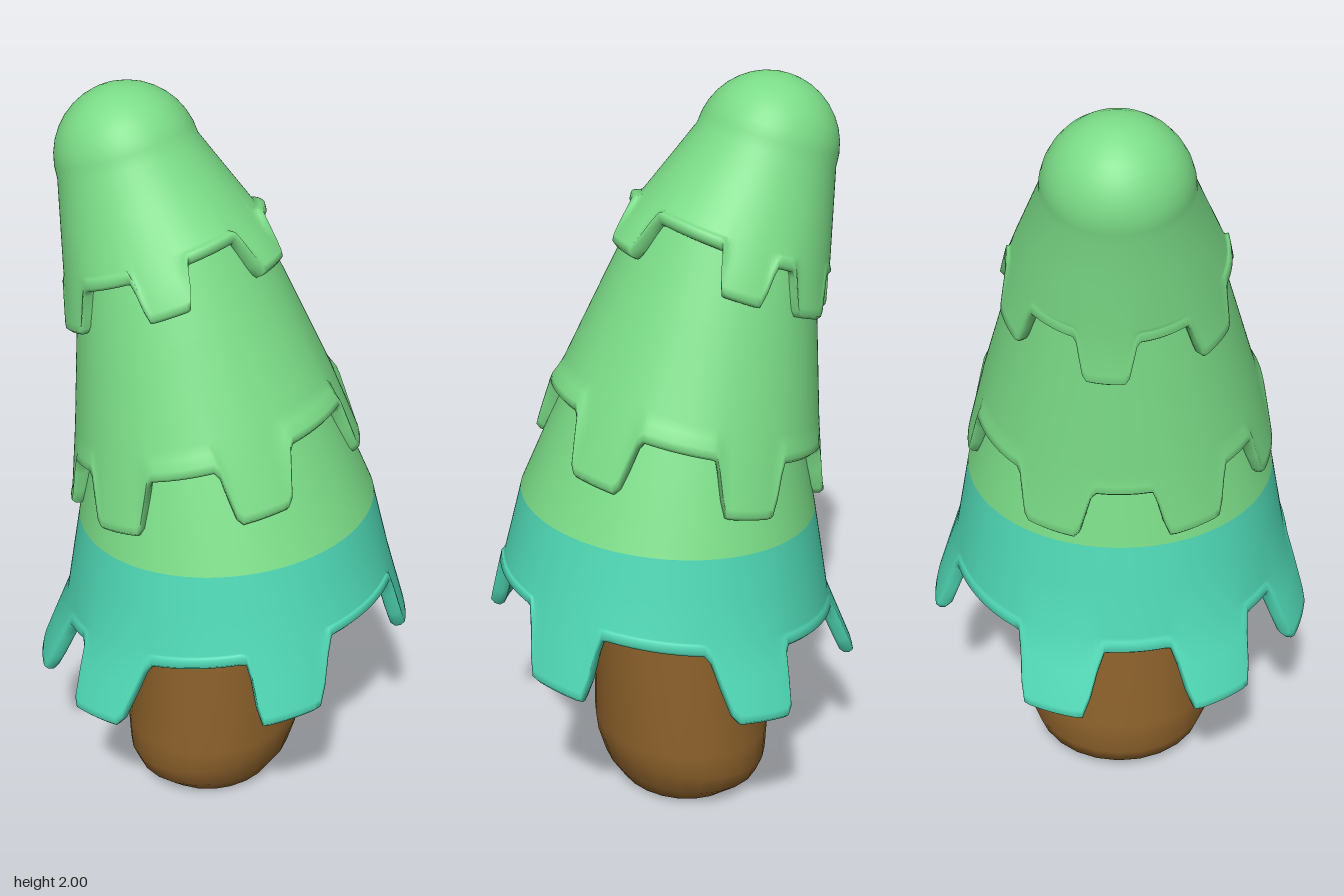
import * as THREE from 'three';

const SEG = 180;
const DEG = Math.PI / 180;

// A ring is [y, centreX, radiusX, radiusZ, slope]; slope tilts it up towards +x.
const mix = (p, q, t) => p.map((v, i) => v + (q[i] - v) * t);
const grow = (r, d, dy) => [r[0] + dy, r[1], r[2] + d, r[3] + d, r[4]];

// Skin a list of rings from top to bottom; a row may vary with the angle.
function loft(rows, seg = SEG) {
  const pos = [], index = [];
  rows.forEach((row, i) => {
    for (let j = 0; j < seg; j++) {
      const a = (j / seg) * Math.PI * 2;
      const [y, cx, rx, rz, slope] = typeof row === 'function' ? row(a) : row;
      const dx = rx * Math.cos(a);
      pos.push(cx + dx, y + slope * dx, rz * Math.sin(a));
      if (i === rows.length - 1) continue;
      const k = (j + 1) % seg, p = i * seg, q = p + seg;
      index.push(p + j, p + k, q + j, p + k, q + k, q + j);
    }
  });
  const g = new THREE.BufferGeometry();
  g.setAttribute('position', new THREE.Float32BufferAttribute(pos, 3));
  g.setIndex(index);
  g.computeVertexNormals();
  return g;
}

// How far the hem hangs down (0 notch, 1 tab) at an angle.
function tabAmount(a, tabs, half) {
  let best = 0;
  for (const t of tabs) {
    const d = Math.abs(((a / DEG - t + 540) % 360 + 360) % 360 - 180);
    best = Math.max(best, 1 - THREE.MathUtils.smoothstep(d, half - 3.5, half + 3.5));
  }
  return best;
}

// Rows of a thick, rounded, tabbed hem hanging from the ring above it.
function hemRows(above, notch, tab, tabs, half) {
  const hem = (a) => mix(notch, tab, tabAmount(a, tabs, half));
  const low = mix(above, notch, 0.85);
  return [
    mix(above, notch, 0.4), low,
    (a) => mix(low, grow(hem(a), 0, 0.03), 0.5),
    (a) => grow(hem(a), 0, 0.03),
    (a) => grow(hem(a), 0.004, 0.012),
    (a) => grow(hem(a), -0.006, 0.001),
    (a) => grow(hem(a), -0.02, -0.002),
    (a) => grow(hem(a), -0.034, 0.008),
    (a) => grow(hem(a), -0.042, 0.03),
    grow(notch, -0.055, 0.045),
  ];
}

export function createModel() {
  const green = new THREE.MeshStandardMaterial({ color: 0x7bdc87 });
  green.name = 'leaf green';
  const teal = new THREE.MeshStandardMaterial({ color: 0x4fd8b5 });
  teal.name = 'teal';
  const brown = new THREE.MeshStandardMaterial({ color: 0x8c612b });
  brown.name = 'bark brown';

  const tree = new THREE.Group();
  tree.name = 'tree';
  const add = (name, geometry, material) => {
    const m = new THREE.Mesh(geometry, material);
    m.name = name;
    tree.add(m);
  };

  // Trunk with a bevelled foot
  add('trunk', loft([
    [0.74, 0.0, 0.205, 0.225, 0],
    [0.5, -0.01, 0.22, 0.24, 0.05],
    [0.19, -0.03, 0.242, 0.26, 0.06],
    [0.115, -0.03, 0.236, 0.257, 0.17],
    [0.055, -0.032, 0.216, 0.235, 0.11],
    [0.012, -0.03, 0.175, 0.19, 0.03],
    [0.002, -0.03, 0.14, 0.16, 0],
    [0, -0.03, 0, 0, 0],
  ], 24), brown);

  // Top tier: leaning dome running into a tabbed skirt
  const dome = [];
  for (let i = 0; i <= 9; i++) {
    const p = i * 10 * DEG, r = 0.185;
    dome.push([1.815 + 0.944 * r * Math.cos(p), -0.27 - 0.33 * r * Math.cos(p),
      0.944 * r * Math.sin(p), r * Math.sin(p), 0.35]);
  }
  add('topTier', loft([...dome, ...hemRows(dome[9],
    [1.58, -0.17, 0.25, 0.272, 0.4], [1.48, -0.14, 0.28, 0.295, 0.4],
    [0, 62, 125, 185, 245, 288], 13)]), green);

  // Middle tier
  const midTop = [1.62, -0.17, 0.215, 0.235, 0.4];
  add('middleTier', loft([midTop, ...hemRows(midTop,
    [1.12, -0.045, 0.347, 0.375, 0.25], [0.98, -0.025, 0.375, 0.4, 0.22],
    [-90, -27, 41, 101, 150, 205], 13)]), green);

  // Bottom tier: green upper band, teal skirt, closed underside
  const bandTop = [1.18, -0.045, 0.295, 0.32, 0.22];
  const bandEnd = [0.895, 0.01, 0.39, 0.41, 0.065];
  add('bottomTierBand', loft([bandTop, mix(bandTop, bandEnd, 0.5), bandEnd]), green);
  add('bottomTierSkirt', loft([bandEnd, ...hemRows(bandEnd,
    [0.63, 0.015, 0.445, 0.458, 0.15], [0.455, 0, 0.5, 0.515, 0.13],
    [-92, -27, 41, 104, 147, 199], 12),
  [0.69, 0.015, 0.3, 0.31, 0.1], [0.69, 0.015, 0, 0, 0]]), teal);

  return tree;
}
